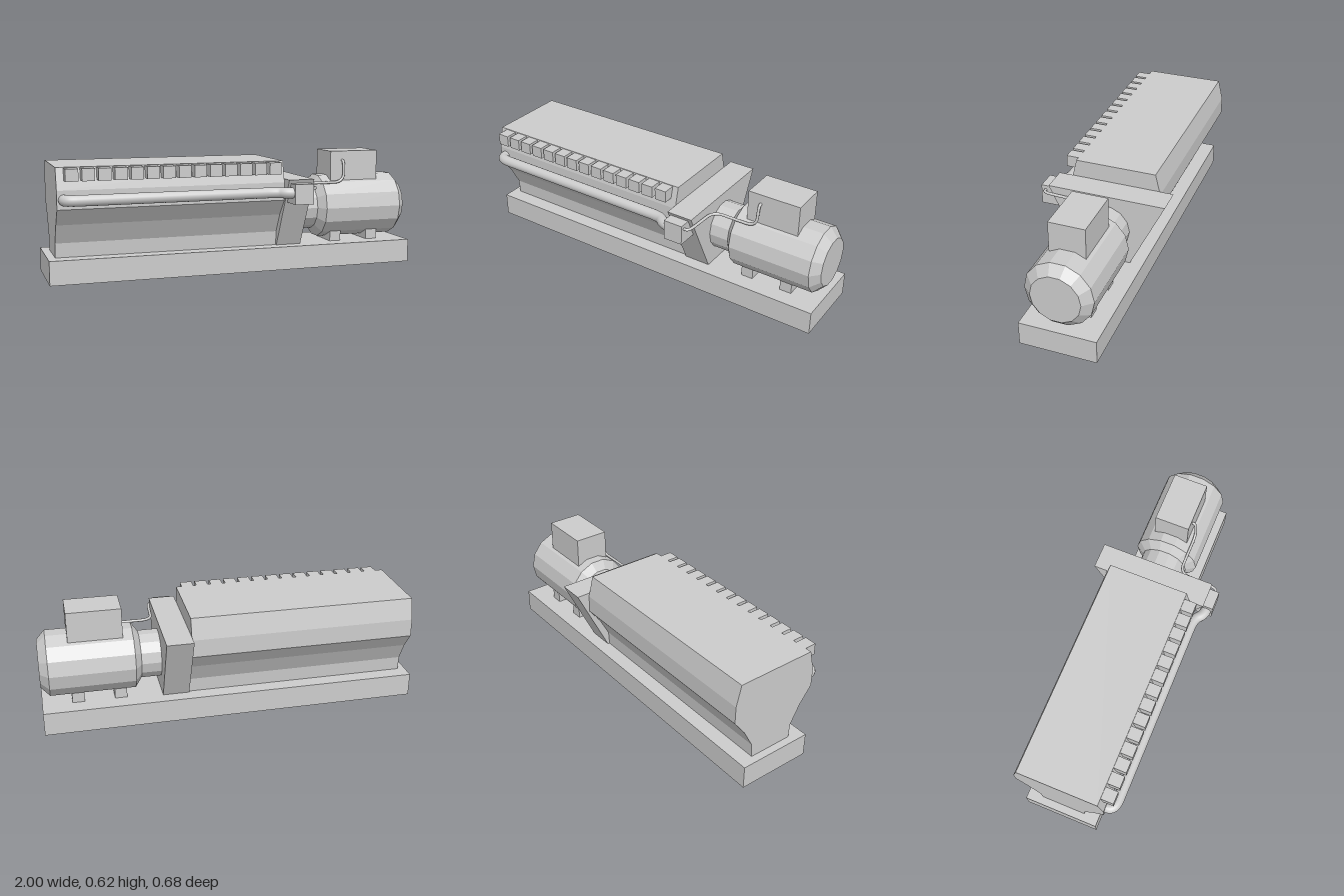
import * as THREE from 'three';

const CZ = -0.025; // centre plane of the machine
const mat = new THREE.MeshStandardMaterial({ color: 0xcccccc, flatShading: true });
const smooth = new THREE.MeshStandardMaterial({ color: 0xcccccc });
const open = new THREE.MeshStandardMaterial({ color: 0xcccccc, flatShading: true, side: THREE.DoubleSide });

export function createModel() {
  const root = new THREE.Group();
  const add = (name, geo, m = mat) => {
    const mesh = new THREE.Mesh(geo, m);
    mesh.name = name;
    root.add(mesh);
    return mesh;
  };
  // box from its minimum and maximum on each axis
  const box = (x0, x1, y0, y1, z0, z1) =>
    new THREE.BoxGeometry(x1 - x0, y1 - y0, z1 - z0)
      .translate((x0 + x1) / 2, (y0 + y1) / 2, (z0 + z1) / 2);
  // symmetric cross-section, given as [half width, y], extruded along x
  const prism = (profile, x0, x1) => {
    const pts = profile.map(([w, y]) => new THREE.Vector2(w, y));
    const mirrored = profile.map(([w, y]) => new THREE.Vector2(-w, y)).reverse();
    return new THREE.ExtrudeGeometry(new THREE.Shape([...pts, ...mirrored]), { depth: x1 - x0, bevelEnabled: false })
      .rotateY(Math.PI / 2).translate(x0, 0, CZ);
  };
  // tube along straight runs with rounded corners
  const pipe = (points, radius, bend, sides) => {
    const p = points.map((a) => new THREE.Vector3(...a));
    const path = new THREE.CurvePath();
    let from = p[0];
    for (let i = 1; i < p.length - 1; i++) {
      const toward = (q) => {
        const d = q.clone().sub(p[i]);
        return p[i].clone().addScaledVector(d.clone().normalize(), Math.min(bend, d.length() * 0.48));
      };
      const a = toward(p[i - 1]), b = toward(p[i + 1]);
      path.add(new THREE.LineCurve3(from, a));
      path.add(new THREE.QuadraticBezierCurve3(a, p[i], b));
      from = b;
    }
    path.add(new THREE.LineCurve3(from, p[p.length - 1]));
    return new THREE.TubeGeometry(path, 160, radius, sides, false);
  };

  // hollow base, open underneath
  const base = box(-1, 1, 0, 0.125, -0.225, 0.175);
  const index = Array.from(base.index.array);
  index.splice(18, 6);
  base.setIndex(index);
  base.clearGroups();
  add('base', base, open);

  // long waisted body and the end plate
  add('body', prism([[0.12, 0.125], [0.125, 0.2], [0.178, 0.3], [0.242, 0.385], [0.242, 0.48], [0.215, 0.592]], -0.96, 0.23));
  add('endPlate', prism([[0.131, 0.125], [0.312, 0.499]], 0.23, 0.37));

  // row of blocks along the front
  for (let i = 0; i < 14; i++) {
    const x = -0.89 + i * 0.0812;
    add('sideBlock', box(x - 0.032, x + 0.032, 0.527, 0.589, 0.17, 0.258));
  }

  // collecting pipe and the box it ends in
  add('collectorPipe', pipe([[-0.925, 0.433, 0.18], [-0.925, 0.433, 0.26], [0.17, 0.433, 0.26],
    [0.215, 0.433, 0.303], [0.27, 0.433, 0.303]], 0.028, 0.06, 16), smooth);
  add('junctionBox', box(0.243, 0.347, 0.374, 0.48, 0.225, 0.338));

  // coupling neck and motor
  const profile = [[0, 0.36], [0.128, 0.36], [0.128, 0.475], [0.176, 0.51], [0.176, 0.955], [0.128, 1], [0, 1]];
  add('motor', new THREE.LatheGeometry(profile.map(([r, x]) => new THREE.Vector2(r, x)), 14)
    .rotateZ(-Math.PI / 2).translate(0, 0.317, CZ));
  for (const x of [0.59, 0.812]) add('motorFoot', box(x - 0.032, x + 0.032, 0.12, 0.2, -0.135, 0.085));
  add('terminalBox', box(0.563, 0.845, 0.45, 0.625, -0.118, 0.069));

  // cable from the junction box to the terminal box
  add('cable', pipe([[0.34, 0.455, 0.315], [0.375, 0.455, 0.315], [0.385, 0.455, 0.097],
    [0.632, 0.455, 0.097], [0.634, 0.57, 0.088], [0.634, 0.574, 0.06]], 0.0075, 0.06, 10), smooth);

  return root;
}
